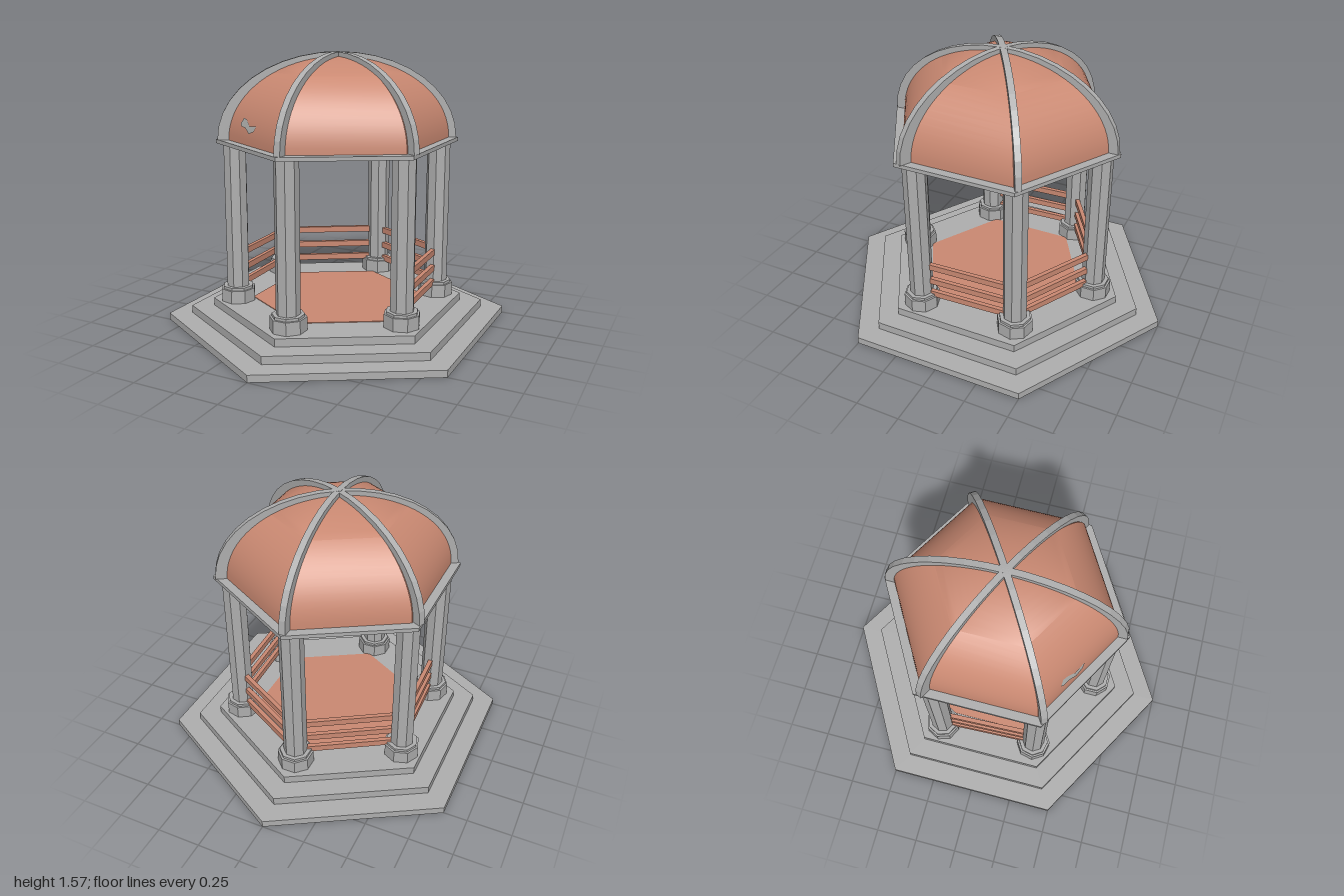
import * as THREE from 'three';
import { toCreasedNormals } from 'three/addons/utils/BufferGeometryUtils.js';

const stone = new THREE.MeshStandardMaterial({ color: 0xaeaeae });
stone.name = 'grey stone';
const terracotta = new THREE.MeshStandardMaterial({ color: 0xca8972, side: THREE.DoubleSide });
terracotta.name = 'terracotta';
const patchGrey = new THREE.MeshStandardMaterial({ color: 0xaeaeab, side: THREE.DoubleSide });
patchGrey.name = 'patch grey';

// Directions of the six posts and ribs, in degrees, starting at the front
const ANGLES = [-90, -27.4, 31.8, 90, 152.6, 211.8].map(THREE.MathUtils.degToRad);
const POST_RADIUS = 0.588;
const EAVES = 1.08;
const DOME = { a: 0.64, b: 0.465 };

function add(parent, name, geometry, material) {
  const mesh = new THREE.Mesh(geometry, material);
  mesh.name = name;
  parent.add(mesh);
  return mesh;
}

// Flat-sided prism standing between two heights
function prism(radius, sides, y0, y1, topRadius = radius) {
  const g = new THREE.CylinderGeometry(topRadius, radius, y1 - y0, sides);
  if (sides === 8) g.rotateY(Math.PI / 8);
  g.translate(0, (y0 + y1) / 2, 0);
  return toCreasedNormals(g, 0.3);
}

function hexPoints(radius) {
  return Array.from({ length: 6 }, (_, i) => {
    const t = (i * Math.PI) / 3;
    return new THREE.Vector2(-Math.sin(t) * radius, Math.cos(t) * radius);
  });
}

const onCircle = (t, r) => new THREE.Vector3(Math.cos(t) * r, 0, -Math.sin(t) * r);

function ellipse(a, b, n) {
  return Array.from({ length: n + 1 }, (_, i) => {
    const t = (i / n) * Math.PI / 2;
    return new THREE.Vector2(Math.max(a * Math.cos(t), 0), b * Math.sin(t));
  });
}

export function createModel() {
  const model = new THREE.Group();
  model.name = 'pavilion';

  // Stepped base and inlaid floor
  add(model, 'lowerStep', prism(1, 6, 0, 0.04), stone);
  add(model, 'middleStep', prism(0.865, 6, 0.04, 0.085), stone);
  add(model, 'upperStep', prism(0.735, 6, 0.085, 0.13), stone);
  add(model, 'floorInlay', prism(0.5, 6, 0.128, 0.134), terracotta);

  // Octagonal columns with two-tier plinths
  for (const t of ANGLES) {
    const column = new THREE.Group();
    column.name = 'column';
    add(column, 'plinth', prism(0.102, 8, 0.13, 0.205), stone);
    add(column, 'plinthCap', prism(0.09, 8, 0.205, 0.22), stone);
    add(column, 'shaft', prism(0.067, 8, 0.22, 1.065), stone);
    column.position.copy(onCircle(t, POST_RADIUS));
    column.rotation.y = t;
    model.add(column);
  }

  // Three rails on each side except the two open front ones
  for (let i = 1; i < 5; i++) {
    const a = onCircle(ANGLES[i], POST_RADIUS);
    const b = onCircle(ANGLES[i + 1], POST_RADIUS);
    for (const y of [0.218, 0.305, 0.402]) {
      const rail = add(model, 'rail', new THREE.BoxGeometry(a.distanceTo(b), 0.036, 0.025), terracotta);
      rail.position.addVectors(a, b).multiplyScalar(0.5).setY(y);
      rail.rotation.y = Math.atan2(-(b.z - a.z), b.x - a.x);
    }
  }

  // Eaves ring
  const ringShape = new THREE.Shape(hexPoints(0.695));
  ringShape.holes.push(new THREE.Path(hexPoints(0.49).reverse()));
  const ring = new THREE.ExtrudeGeometry(ringShape, { depth: 0.022, bevelEnabled: false });
  ring.rotateX(-Math.PI / 2).translate(0, EAVES - 0.022, 0);
  add(model, 'eavesRing', ring, stone);

  // Six-panelled dome
  const dome = new THREE.LatheGeometry(ellipse(DOME.a, DOME.b, 20), 6);
  dome.translate(0, EAVES, 0);
  add(model, 'dome', toCreasedNormals(dome, 0.5), terracotta);

  // Curved ribs meeting at the crown
  const ribShape = new THREE.Shape([
    ...ellipse(0.683, 0.49, 10),
    ...ellipse(0.615, 0.445, 10).reverse(),
  ]);
  const ribGeometry = new THREE.ExtrudeGeometry(ribShape, { depth: 0.036, bevelEnabled: false });
  ribGeometry.translate(0, EAVES, -0.018);
  for (const t of ANGLES) {
    add(model, 'rib', ribGeometry, stone).rotation.y = t;
  }

  // Small irregular patch on the front dome panel, inside and out
  const outline = [
    [-0.395, 1.19], [-0.37, 1.222], [-0.34, 1.215], [-0.305, 1.185], [-0.24, 1.192],
    [-0.26, 1.162], [-0.305, 1.145], [-0.345, 1.172], [-0.385, 1.175],
  ].map(([x, y]) => new THREE.Vector2(x, y)).reverse();
  for (const offset of [0.004, -0.004]) {
    const g = new THREE.ShapeGeometry(new THREE.Shape(outline));
    const p = g.attributes.position;
    for (let i = 0; i < p.count; i++) {
      const h = (p.getY(i) - EAVES) / DOME.b;
      const apothem = DOME.a * Math.sqrt(1 - h * h) * Math.cos(Math.PI / 6) + offset;
      p.setZ(i, (apothem + 0.5 * p.getX(i)) / Math.cos(Math.PI / 6));
    }
    g.computeVertexNormals();
    add(model, 'domePatch', g, patchGrey);
  }

  return model;
}
